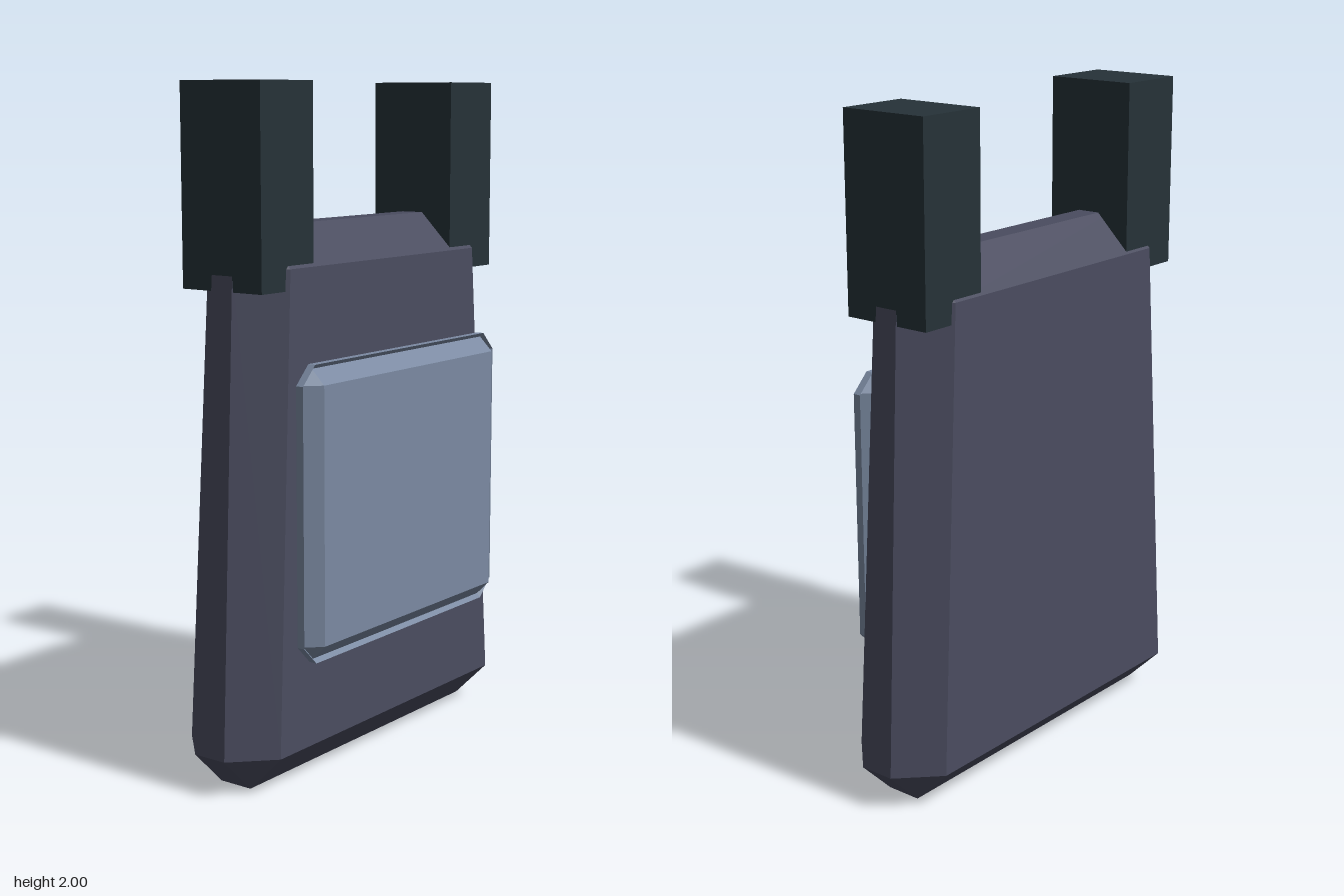
import * as THREE from 'three';

// Block with every edge cut by a bevel; the bottom and top may differ in size.
// bottom / top: [halfX, halfY, halfZ, bevel]
function bevelledBlock(bottom, top) {
  const positions = [];
  // Corner vertex lying on the face of the given axis
  const vertex = (axis, s) => {
    const d = s[1] > 0 ? top : bottom;
    return new THREE.Vector3(...s.map((sign, i) => sign * (d[i] - (i === axis ? 0 : d[3]))));
  };
  const signs = (a, sa, su, sw) => {
    const s = [0, 0, 0];
    s[a] = sa;
    s[(a + 1) % 3] = su;
    s[(a + 2) % 3] = sw;
    return s;
  };
  // Add a polygon, wound so that it faces along dir
  const addFace = (points, dir) => {
    const n = points[1].clone().sub(points[0]).cross(points[2].clone().sub(points[0]));
    const p = n.dot(new THREE.Vector3(...dir)) < 0 ? points.reverse() : points;
    for (let i = 1; i < p.length - 1; i++) {
      for (const q of [p[0], p[i], p[i + 1]]) positions.push(q.x, q.y, q.z);
    }
  };

  for (let a = 0; a < 3; a++) {
    const u = (a + 1) % 3, w = (a + 2) % 3;
    // Flat faces
    for (const sa of [-1, 1]) {
      const ring = [[-1, -1], [1, -1], [1, 1], [-1, 1]];
      addFace(ring.map(([su, sw]) => vertex(a, signs(a, sa, su, sw))), signs(a, sa, 0, 0));
    }
    // Bevelled edges running along this axis
    for (const su of [-1, 1]) for (const sw of [-1, 1]) {
      const lo = signs(a, -1, su, sw), hi = signs(a, 1, su, sw);
      addFace([vertex(u, lo), vertex(u, hi), vertex(w, hi), vertex(w, lo)], signs(a, 0, su, sw));
    }
  }
  // Corner triangles
  for (const x of [-1, 1]) for (const y of [-1, 1]) for (const z of [-1, 1]) {
    const s = [x, y, z];
    addFace([vertex(0, s), vertex(1, s), vertex(2, s)], s);
  }

  const geometry = new THREE.BufferGeometry();
  geometry.setAttribute('position', new THREE.Float32BufferAttribute(positions, 3));
  geometry.computeVertexNormals();
  return geometry;
}

function makeMaterial(name, color) {
  const material = new THREE.MeshStandardMaterial({ color, flatShading: true });
  material.name = name;
  return material;
}

export function createModel() {
  const group = new THREE.Group();
  group.name = 'bag';
  const bodyMat = makeMaterial('slate fabric', 0x4a4c5f);
  const pocketMat = makeMaterial('pale blue fabric', 0x7b8aa2);
  pocketMat.side = THREE.DoubleSide;
  const strapMat = makeMaterial('dark strap', 0x263238);

  const add = (name, geometry, material, x, y, z) => {
    const mesh = new THREE.Mesh(geometry, material);
    mesh.name = name;
    mesh.position.set(x, y, z);
    group.add(mesh);
  };

  // Tapered body
  add('body', bevelledBlock([0.65, 0.802, 0.167, 0.113], [0.569, 0.802, 0.149, 0.113]),
    bodyMat, 0, 0.802, -0.038);

  // Front pocket: the bevel is deeper than half its thickness, leaving a thin rim
  const pocket = [0.484, 0.427, 0.043, 0.055];
  add('pocket', bevelledBlock(pocket, pocket), pocketMat, 0, 0.803, 0.162);

  // Shoulder straps
  for (const side of [-1, 1]) {
    add(side > 0 ? 'leftStrap' : 'rightStrap', new THREE.BoxGeometry(0.228, 0.57, 0.283),
      strapMat, side * 0.456, 1.715, -0.039);
  }
  return group;
}
